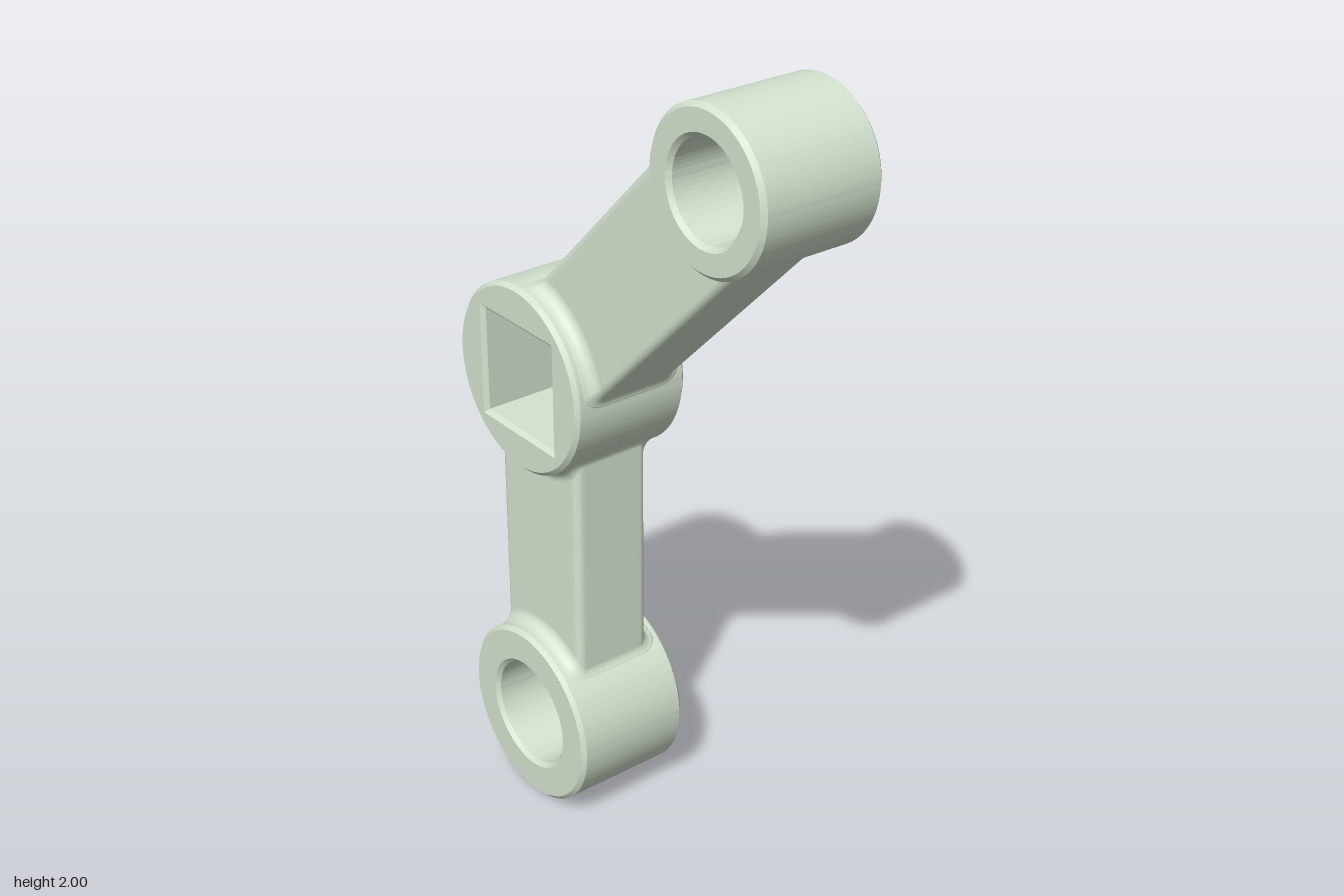
import * as THREE from 'three';
import { toCreasedNormals } from 'three/addons/utils/BufferGeometryUtils.js';

const HALF_DEPTH = 0.153;   // bosses, along x
const ARM_X = 0.102;        // arm half thickness
const ARM_W = 0.152;        // arm half width
const EDGE = 0.02;          // rounding of the arm edges
const FILLET = 0.03;        // blend between arm and boss

// Ring with its axis along x, chamfered edges and a round or square bore
function bossGeometry(radius, bore, square) {
  const chamfer = 0.01;
  const shape = new THREE.Shape().absarc(0, 0, radius, 0, Math.PI * 2);
  const hole = new THREE.Path();
  if (square) {
    hole.moveTo(-bore, -bore).lineTo(-bore, bore).lineTo(bore, bore).lineTo(bore, -bore).closePath();
  } else {
    hole.absarc(0, 0, bore, 0, Math.PI * 2, true);
  }
  shape.holes.push(hole);
  const depth = 2 * (HALF_DEPTH - chamfer);
  const geo = new THREE.ExtrudeGeometry(shape, {
    depth, curveSegments: 96, bevelEnabled: true, bevelSegments: 1,
    bevelSize: chamfer, bevelThickness: chamfer, bevelOffset: -chamfer,
  });
  geo.translate(0, 0, -depth / 2);
  geo.rotateY(Math.PI / 2);
  return toCreasedNormals(geo, 0.5);
}

// Outline of the arm: rounded rectangle of points with outward normals
function armOutline() {
  const corners = [[1, 1], [-1, 1], [-1, -1], [1, -1]];
  const arcs = corners.map(([sx, sz], k) => Array.from({ length: 7 }, (_, i) => {
    const a = (k + i / 6) * Math.PI / 2;
    const nx = Math.cos(a), nz = Math.sin(a);
    return { x: sx * (ARM_X - EDGE) + EDGE * nx, z: sz * (ARM_W - EDGE) + EDGE * nz, nx, nz };
  }));
  const points = [];
  arcs.forEach((arc, k) => {
    points.push(...arc);
    const p = arc[6], q = arcs[(k + 1) % 4][0];
    for (let i = 1; i < 16; i++) {
      const t = i / 16;
      points.push({ x: p.x + (q.x - p.x) * t, z: p.z + (q.z - p.z) * t, nx: p.nx, nz: p.nz });
    }
  });
  return points;
}

// Arm along +y whose ends follow the boss walls and flare into a fillet
function armGeometry(length, r0, r1) {
  const outline = armOutline();
  const endRing = (R, t, sink) => {
    const flare = FILLET * (1 - Math.sin(t)), rise = 1 - Math.cos(t);
    const sideRise = Math.sqrt((R + FILLET) ** 2 - (ARM_W + FILLET) ** 2);
    const sideTop = Math.hypot(ARM_W, sideRise) - R;
    return outline.map(({ x, z, nx, nz }) => {
      const k = nz * nz;
      const w = z + nz * flare * (R - ARM_W) / (R + FILLET);
      const r = R - sink + rise * (FILLET * (1 - k) + sideTop * k);
      return [x + nx * flare, Math.sqrt(Math.max(r * r - w * w, 0)), w];
    });
  };
  const flareRings = (R) => {
    const rings = [endRing(R, 0, 0.006)];
    for (let i = 0; i <= 8; i++) rings.push(endRing(R, i / 8 * Math.PI / 2, 0));
    return rings;
  };
  const rings = [
    ...flareRings(r0),
    ...flareRings(r1).reverse().map(ring => ring.map(([x, y, z]) => [x, length - y, z])),
  ];
  const n = outline.length, index = [];
  for (let j = 0; j < rings.length - 1; j++) {
    for (let i = 0; i < n; i++) {
      const a = j * n + i, b = j * n + (i + 1) % n;
      index.push(a, a + n, b, b, a + n, b + n);
    }
  }
  const geo = new THREE.BufferGeometry();
  geo.setAttribute('position', new THREE.Float32BufferAttribute(rings.flat(2), 3));
  geo.setIndex(index);
  geo.computeVertexNormals();
  return geo;
}

export function createModel() {
  const group = new THREE.Group();
  const material = new THREE.MeshStandardMaterial({ color: 0xd5e3d0 });

  const bosses = [
    { name: 'lowerBoss', y: 0.233, z: -0.3, radius: 0.231, bore: 0.135 },
    { name: 'squareSocketBoss', y: 1.163, z: -0.3, radius: 0.231, bore: 0.131, square: true },
    { name: 'upperBoss', y: 1.824, z: 0.356, radius: 0.176, bore: 0.108 },
  ];
  for (const b of bosses) {
    const mesh = new THREE.Mesh(bossGeometry(b.radius, b.bore, b.square), material);
    mesh.name = b.name;
    mesh.position.set(0, b.y, b.z);
    group.add(mesh);
  }

  // Arms join each boss to the next
  ['lowerArm', 'upperArm'].forEach((name, i) => {
    const a = bosses[i], b = bosses[i + 1];
    const dy = b.y - a.y, dz = b.z - a.z;
    const arm = new THREE.Mesh(armGeometry(Math.hypot(dy, dz), a.radius, b.radius), material);
    arm.name = name;
    arm.position.set(0, a.y, a.z);
    arm.rotation.x = Math.atan2(dz, dy);
    group.add(arm);
  });
  return group;
}
